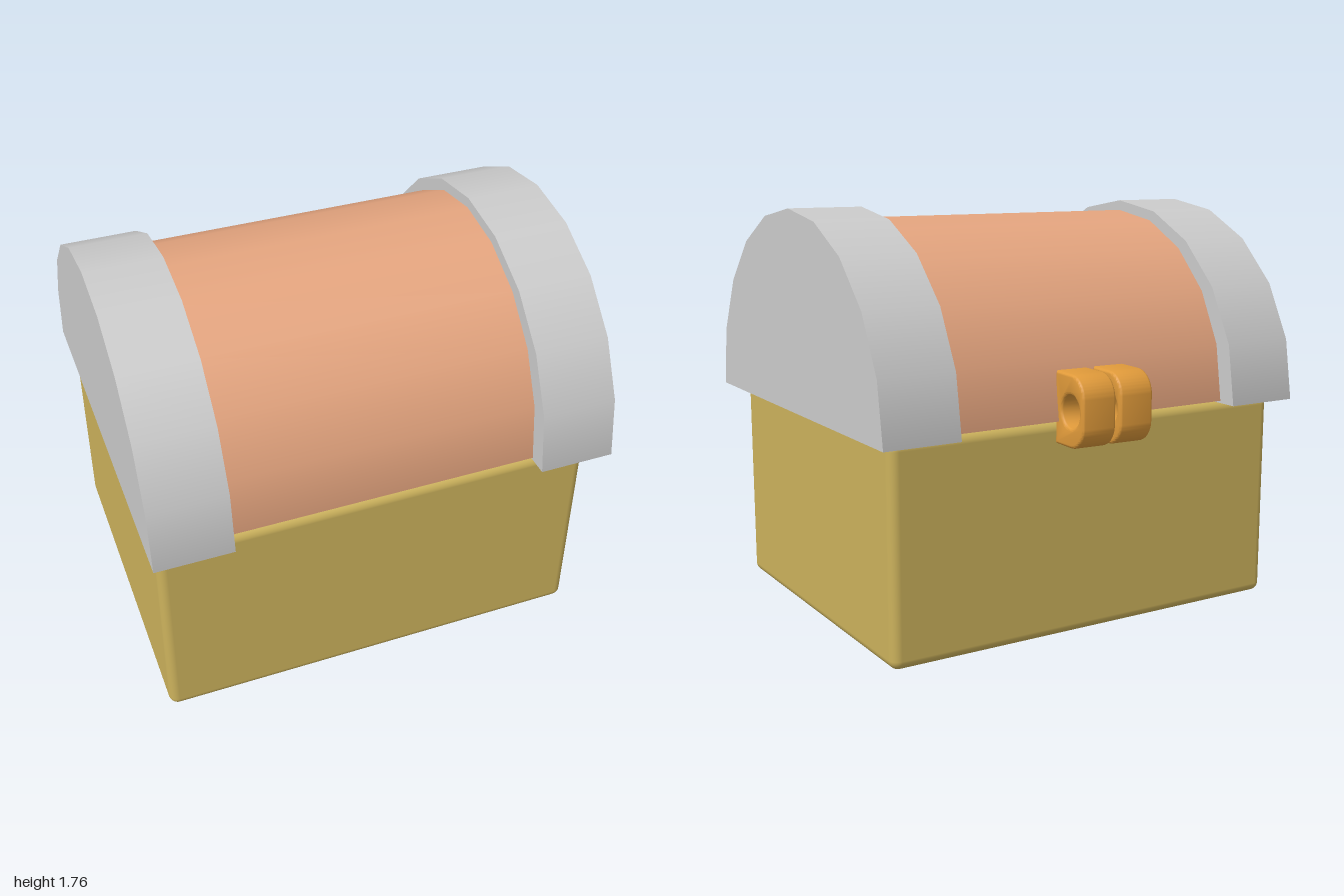
import * as THREE from 'three';
import { RoundedBoxGeometry } from 'three/addons/geometries/RoundedBoxGeometry.js';
import { toCreasedNormals } from 'three/addons/utils/BufferGeometryUtils.js';

const LID_Z = 0.05;

// Solid half barrel lying along x, flat side down at y = 0
function addHalfBarrel(parent, name, radius, length, material, position, yScale = 1) {
  const group = new THREE.Group();
  group.name = name;
  group.position.set(...position);
  const arch = new THREE.CylinderGeometry(radius, radius, length, 10, 1, false, 0, Math.PI);
  arch.rotateZ(Math.PI / 2).scale(1, yScale, 1);
  const underside = new THREE.PlaneGeometry(length, radius * 2).rotateX(Math.PI / 2);
  for (const [part, geometry] of [['Arch', arch], ['Underside', underside]]) {
    const mesh = new THREE.Mesh(geometry, material);
    mesh.name = name + part;
    group.add(mesh);
  }
  parent.add(group);
}

// Pierced lug with rounded outer corners, extruded along x
function lugGeometry() {
  const bevel = 0.012, r = 0.085;
  const u0 = 0.69 + bevel, u1 = 0.9 - bevel, v0 = 0.83 + bevel, v1 = 1.13 - bevel;
  const shape = new THREE.Shape();
  shape.moveTo(u0, v0);
  shape.lineTo(u1 - r, v0);
  shape.absarc(u1 - r, v0 + r, r, -Math.PI / 2, 0, false);
  shape.absarc(u1 - r, v1 - r, r, 0, Math.PI / 2, false);
  shape.lineTo(u0, v1);
  shape.closePath();
  const hole = new THREE.Path();
  hole.absarc(0.803, 0.98, 0.068 + bevel, 0, Math.PI * 2, true);
  shape.holes.push(hole);
  const depth = 0.155 - bevel * 2;
  const geometry = new THREE.ExtrudeGeometry(shape, {
    depth, curveSegments: 12, bevelSize: bevel, bevelThickness: bevel, bevelSegments: 3,
  });
  // Centre on its width, then turn it to face backwards
  geometry.translate(0, 0, -depth / 2).rotateY(Math.PI / 2);
  return toCreasedNormals(geometry, 0.7);
}

export function createModel() {
  const model = new THREE.Group();
  model.name = 'chest';
  const grey = new THREE.MeshStandardMaterial({ color: 0xcccccc });
  const olive = new THREE.MeshStandardMaterial({ color: 0xccb25c });
  const peach = new THREE.MeshStandardMaterial({ color: 0xe5a57f });
  const orange = new THREE.MeshStandardMaterial({ color: 0xe09a3a });

  // Chest body
  const body = new THREE.Mesh(new RoundedBoxGeometry(1.89, 0.918, 1.51, 4, 0.04), olive);
  body.name = 'body';
  body.position.set(-0.025, 0.459, 0.065);
  model.add(body);

  // Lid and the two broad end bands
  addHalfBarrel(model, 'lid', 0.765, 1.34, peach, [0, 0.925, LID_Z], 0.795 / 0.765);
  for (const [side, name] of [[1, 'leftBand'], [-1, 'rightBand']]) {
    addHalfBarrel(model, name, 0.85, 0.33, grey, [side * 0.835, 0.915, LID_Z]);
  }

  // Pair of pierced lugs on the back, slightly askew
  const lug = lugGeometry();
  const tilt = -0.045;
  for (const [x, name] of [[-0.081, 'rightLug'], [0.1, 'leftLug']]) {
    const mesh = new THREE.Mesh(lug, orange);
    mesh.name = name;
    mesh.rotation.y = tilt;
    mesh.position.x = x + 0.8 * Math.sin(tilt);
    model.add(mesh);
  }
  return model;
}
